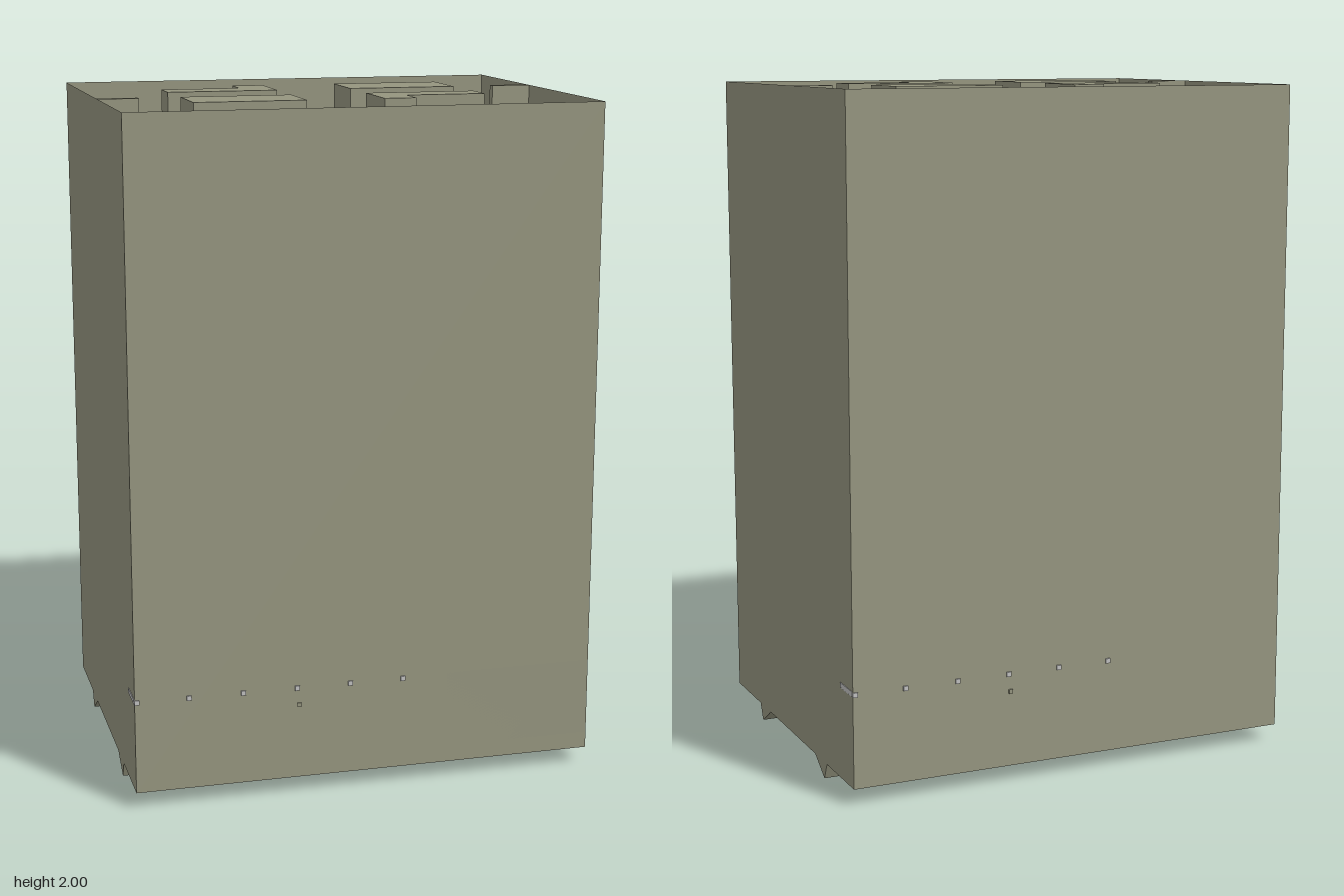
import * as THREE from 'three';

const W = 0.69, D = 0.54, TOP = 2, LOW = 0.05, MID = 0.1, HIGH = 0.33;

export function createModel() {
  const model = new THREE.Group();
  model.name = 'walledArena';
  const stone = new THREE.MeshStandardMaterial({ color: 0x95957f, side: THREE.DoubleSide });
  stone.name = 'olive stone';
  const metal = new THREE.MeshStandardMaterial({ color: 0xc0c0c0 });
  metal.name = 'pale grey metal';

  const add = (parent, name, geometry, material = stone) => {
    const mesh = new THREE.Mesh(geometry, material);
    mesh.name = name;
    parent.add(mesh);
    return mesh;
  };
  // Axis-aligned box given by its limits
  const box = (parent, name, x0, x1, y0, y1, z0, z1, material) =>
    add(parent, name, new THREE.BoxGeometry(x1 - x0, y1 - y0, z1 - z0), material)
      .position.set((x0 + x1) / 2, (y0 + y1) / 2, (z0 + z1) / 2);
  const shapeOf = (points) => new THREE.Shape(points.map(([a, b]) => new THREE.Vector2(a, b)));
  // Floor plan of [x, z] corners raised from y0 to y1
  const raise = (parent, name, plan, y0, y1) => {
    const g = new THREE.ExtrudeGeometry(shapeOf(plan.map(([x, z]) => [x, -z])),
      { depth: y1 - y0, bevelEnabled: false });
    g.rotateX(-Math.PI / 2).translate(0, y0, 0);
    add(parent, name, g);
  };
  const plate = (parent, name, w, d, y, z) => {
    const g = new THREE.PlaneGeometry(w, d).rotateX(-Math.PI / 2);
    add(parent, name, g).position.set(0, y, z);
  };

  // Sunken centre floor
  plate(model, 'centreFloor', 2 * W, 0.57, MID, 0);

  // The plan has half-turn symmetry: build one half, then repeat it turned around
  for (const turn of [0, Math.PI]) {
    const half = new THREE.Group();
    half.name = turn ? 'frontHalf' : 'backHalf';
    half.rotation.y = turn;
    model.add(half);

    // Outer walls, open at the top
    const h = TOP - LOW, yc = (TOP + LOW) / 2;
    add(half, 'longWall', new THREE.PlaneGeometry(2 * W, h).rotateY(Math.PI)).position.set(0, yc, -D);
    add(half, 'sideWall', new THREE.PlaneGeometry(2 * D, h).rotateY(-Math.PI / 2)).position.set(-W, yc, 0);

    // Low outer floor and its step up to the centre
    plate(half, 'outerFloor', 2 * W, D - 0.285, LOW, -(D + 0.285) / 2);
    add(half, 'floorStep', new THREE.PlaneGeometry(2 * W, MID - LOW)).position.set(0, (LOW + MID) / 2, -0.285);

    // Three tilted slabs bridging the step
    for (const x of [-0.57, 0, 0.57]) {
      const w = x ? 0.24 : 0.23;
      const g = new THREE.ExtrudeGeometry(
        shapeOf([[-0.235, 0.103], [-0.315, 0.053], [-0.29, 0], [-0.21, 0.05]]),
        { depth: w, bevelEnabled: false });
      g.rotateY(-Math.PI / 2).translate(x + w / 2, 0, 0);
      add(half, 'tiltedSlab', g);
    }

    // Raised platform with the ramp down to the centre
    raise(half, 'platform', [[-W, -D], [-0.245, -D], [-0.245, -0.29], [-0.21, -0.29], [-0.21, -0.09],
      [-0.4, -0.09], [-0.4, 0.085], [-0.45, 0.085], [-0.45, 0.16], [-W, 0.16]], MID, HIGH);
    const ramp = new THREE.ExtrudeGeometry(shapeOf([[-0.4, MID], [-0.115, MID], [-0.4, HIGH]]),
      { depth: 0.175, bevelEnabled: false });
    ramp.translate(0, 0, -0.09);
    add(half, 'ramp', ramp);

    // Full-height blocks
    raise(half, 'notchedTower', [[-0.45, -0.085], [-0.45, -0.19], [-0.21, -0.19], [-0.21, -0.285],
      [-0.115, -0.285], [-0.115, -0.085]], MID, TOP);
    box(half, 'squareTower', 0.115, 0.445, MID, TOP, -0.285, -0.09);
    box(half, 'finWall', -W, -0.57, HIGH, TOP, 0.085, 0.11);

    // Low crates
    box(half, 'platformCrate', -0.655, -0.345, HIGH, 0.42, -0.505, -0.325);
    box(half, 'corridorCrate', 0.235, 0.33, LOW, 0.16, -0.44, -0.285);

    // Metal walkway with beam ends poking through the wall
    box(half, 'walkway', -0.115, W + 0.002, 0.322, 0.336, -D + 0.001, -0.44, metal);
    for (let i = 0; i < 6; i++) {
      const x = Math.min(-0.108 + i * 0.16, W - 0.006);
      box(half, 'walkwayBeam', x - 0.007, x + 0.007, 0.32, 0.334, -D - 0.005, -0.445, metal);
    }
    box(half, 'wallBolt', 0.2, 0.212, 0.269, 0.281, -D - 0.005, -D + 0.01);
  }
  return model;
}
